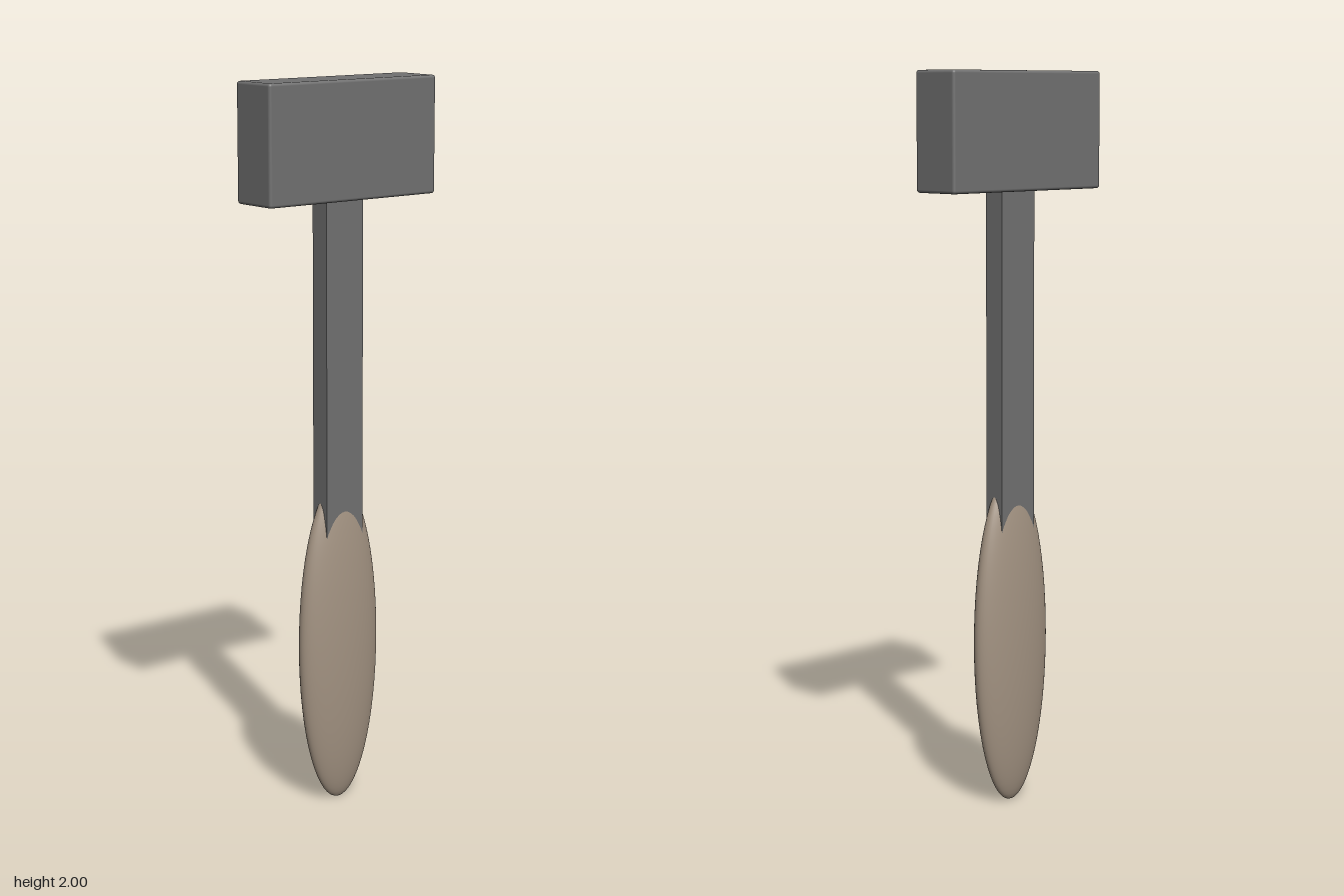
import * as THREE from 'three';
import { RoundedBoxGeometry } from 'three/addons/geometries/RoundedBoxGeometry.js';

export function createModel() {
  const model = new THREE.Group();
  model.name = 'hammer';

  const steel = new THREE.MeshStandardMaterial({ color: 0x707070 });
  steel.name = 'grey steel';
  const grip = new THREE.MeshStandardMaterial({ color: 0xa39382 });
  grip.name = 'tan grip';

  const add = (name, geometry, material, y) => {
    const mesh = new THREE.Mesh(geometry, material);
    mesh.name = name;
    mesh.position.y = y;
    model.add(mesh);
  };

  // Block head with slightly softened edges
  add('head', new RoundedBoxGeometry(0.557, 0.316, 0.143, 3, 0.008), steel, 1.842);

  // Flat bar running from inside the grip into the head
  add('shaft', new THREE.BoxGeometry(0.124, 1.2, 0.059), steel, 1.1);

  // Flattened ellipsoid grip
  const ellipsoid = new THREE.SphereGeometry(1, 48, 32);
  ellipsoid.scale(0.131, 0.457, 0.052);
  add('grip', ellipsoid, grip, 0.457);

  return model;
}
